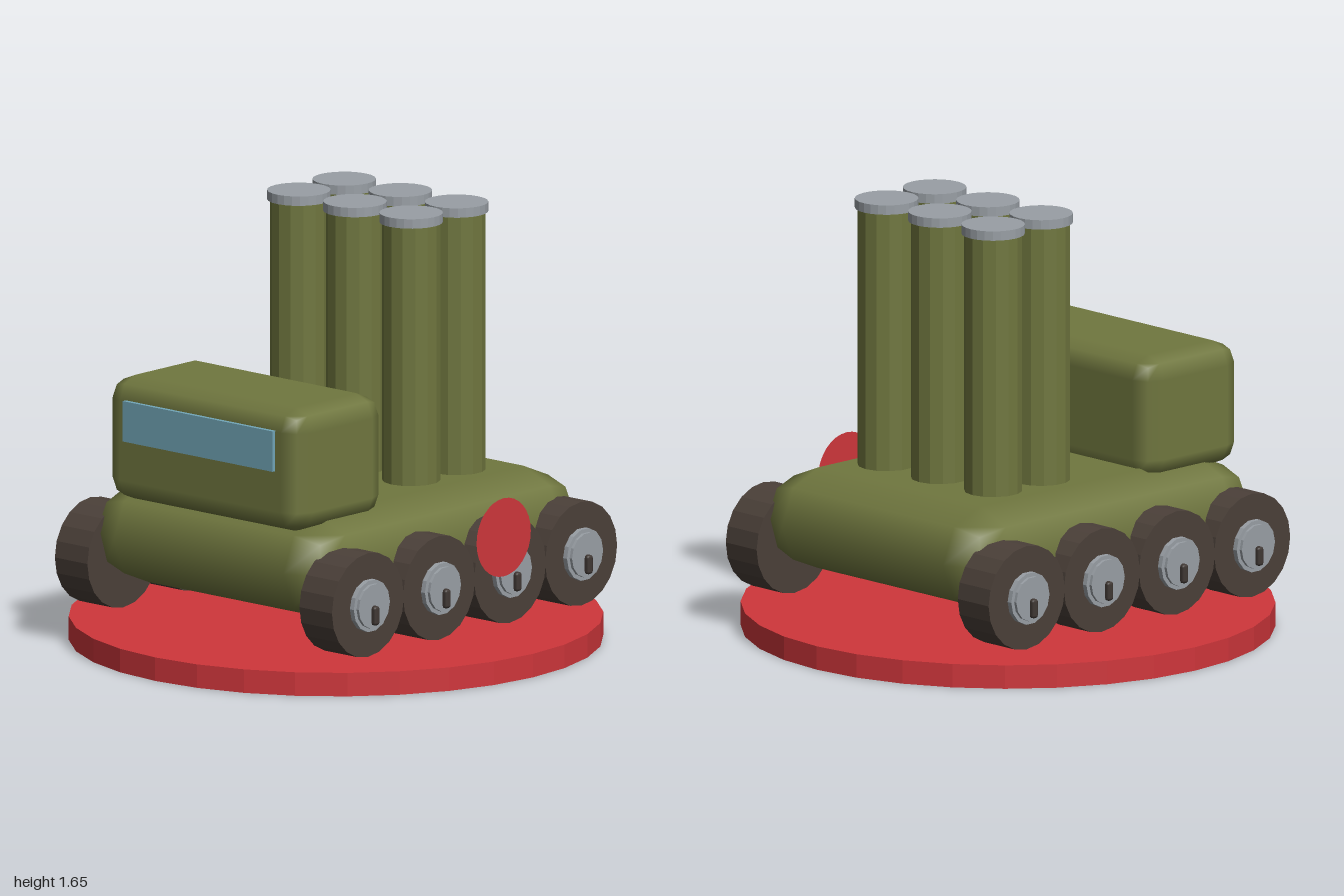
import * as THREE from 'three';
import { RoundedBoxGeometry } from 'three/addons/geometries/RoundedBoxGeometry.js';

const mat = (name, color, opts = {}) => {
  const m = new THREE.MeshStandardMaterial({ color, ...opts });
  m.name = name;
  return m;
};

export function createModel() {
  const olive = mat('olive', 0x70773f, { flatShading: false });
  const oliveFlat = olive;
  const red = mat('red', 0xcf363b, { side: THREE.DoubleSide });
  const tyre = mat('tyre brown', 0x4b4039);
  const grey = mat('steel grey', 0x999fa5);
  const glass = mat('window blue', 0x72a6b8);
  const dark = mat('bolt brown', 0x403834);

  const model = new THREE.Group();
  model.name = 'launcherTruck';

  const add = (name, geometry, material, x, y, z, parent = model) => {
    const mesh = new THREE.Mesh(geometry, material);
    mesh.name = name;
    mesh.position.set(x, y, z);
    parent.add(mesh);
    return mesh;
  };
  // Faceted cylinder, with its axis along y or x
  const drum = (radius, length, sides, alongX = false) => {
    let g = new THREE.CylinderGeometry(radius, radius, length, sides);
    if (alongX) g.rotateZ(-Math.PI / 2);
    g = g.toNonIndexed();
    g.computeVertexNormals();
    return g;
  };

  // Round base
  add('base', drum(1, 0.09, 32), red, 0, 0.045, 0);

  // Hull and cab with softly bevelled edges
  add('hull', new RoundedBoxGeometry(1.25, 0.39, 1.52, 1, 0.195), olive, 0, 0.435, 0);
  add('cab', new RoundedBoxGeometry(0.985, 0.475, 0.5, 1, 0.085), olive, 0, 0.8175, 0.5);
  add('windscreen', new THREE.BoxGeometry(0.76, 0.155, 0.018), glass, 0, 0.8975, 0.756);

  // Two rows of three upright tubes with caps
  const tubeGeo = drum(0.109, 1.04, 14);
  const capGeo = drum(0.119, 0.036, 24);
  for (const z of [-0.105, -0.356]) {
    for (const x of [-0.285, 0, 0.285]) {
      add('launchTube', tubeGeo, oliveFlat, x, 1.11, z);
      add('tubeCap', capGeo, grey, x, 1.637, z);
    }
  }

  // Four wheels on each side, with stepped hubs and a small bolt
  const tyreGeo = drum(0.199, 0.165, 20, true);
  const hubGeo = drum(0.1, 0.03, 14, true);
  const hubFaceGeo = drum(0.085, 0.04, 14, true);
  const boltGeo = new RoundedBoxGeometry(0.04, 0.075, 0.03, 1, 0.012);
  for (const side of [1, -1]) {
    for (const z of [0.589, 0.196, -0.196, -0.589]) {
      const wheel = new THREE.Group();
      wheel.name = side > 0 ? 'leftWheel' : 'rightWheel';
      wheel.position.set(0, 0.33, z);
      add('tyre', tyreGeo, tyre, side * 0.6205, 0, 0, wheel);
      add('hub', hubGeo, grey, side * 0.708, 0, 0, wheel);
      add('hubFace', hubFaceGeo, grey, side * 0.715, 0, 0, wheel);
      add('bolt', boltGeo, dark, side * 0.735, -0.035, 0, wheel);
      model.add(wheel);
    }
  }

  // Flat round marker on the left flank
  const marker = add('sideMarker', new THREE.CircleGeometry(0.15, 32), red, 0.75, 0.48, -0.11);
  marker.rotation.y = Math.PI / 2;

  return model;
}
